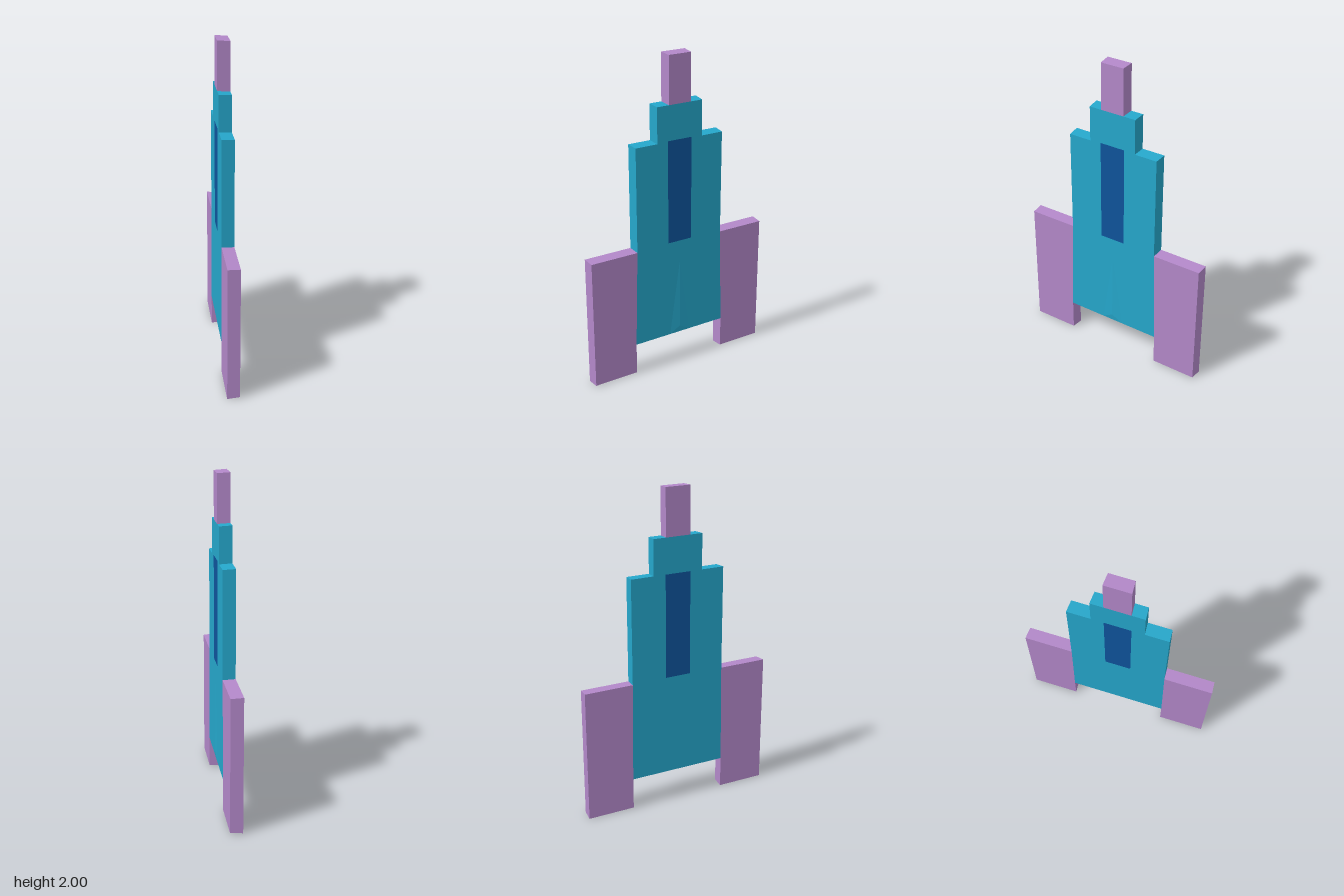
import * as THREE from 'three';

const BACK = -0.042, FRONT = 0.034, BEVEL = 0.005;
const PURPLE = 0xb388c9, TEAL = 0x25a7cb, BLUE = 0x0e549c;

const mirrored = (half) => [...half, ...half.slice().reverse().map(([z, y]) => [-z, y])];
const points = (outline) => outline.map(([z, y]) => new THREE.Vector2(-z, y));

// Flat plate standing in the z-y plane, its +x rim slightly chamfered
function plate(name, color, outline, hole) {
  const shape = new THREE.Shape(points(outline));
  if (hole) shape.holes.push(new THREE.Path(points(hole)));
  const geo = new THREE.ExtrudeGeometry(shape, { depth: FRONT - BACK, bevelEnabled: false });
  geo.rotateY(Math.PI / 2).translate(BACK, 0, 0);
  const p = geo.attributes.position;
  for (let i = 0; i < p.count; i++) {
    const y = p.getY(i), z = p.getZ(i), a = Math.abs(z);
    if (p.getX(i) < 0 || (a < 0.1 && y < 1.6)) continue; // back face and window stay square
    const innerFoot = y < 0.25 && a < 0.5;
    p.setY(i, y + (y < 0.25 ? BEVEL : -BEVEL));
    p.setZ(i, z + Math.sign(z) * (innerFoot ? BEVEL : -BEVEL));
  }
  geo.computeVertexNormals();
  return mesh(name, color, geo);
}

function mesh(name, color, geo) {
  const m = new THREE.Mesh(geo, new THREE.MeshStandardMaterial({ color, flatShading: true }));
  m.name = name;
  return m;
}

export function createModel() {
  const group = new THREE.Group();
  group.name = 'rocketPlate';

  // Stepped hull with a window cut through it
  const windowOutline = mirrored([[0.081, 0.84], [0.081, 1.49]]);
  const hull = mirrored([[0.31, 0.2], [0.302, 0.835], [0.302, 1.49], [0.158, 1.49], [0.158, 1.71], [0.079, 1.71]]);
  group.add(plate('hull', TEAL, hull, windowOutline));
  group.add(plate('window', BLUE, windowOutline));

  // Nose tip
  group.add(plate('noseTip', PURPLE, mirrored([[0.079, 1.71], [0.079, 2]])));

  // Side fins
  for (const s of [1, -1]) {
    const fin = [[0.31, 0], [0.608, 0], [0.608, 0.835], [0.302, 0.835], [0.31, 0.2]];
    group.add(plate(s > 0 ? 'frontFin' : 'rearFin', PURPLE, fin.map(([z, y]) => [s * z, y])));
  }

  // Very shallow ridge low on the +x face
  const ridge = new THREE.BufferGeometry();
  const x = FRONT + 0.0003, top = [x, 0.7, 0], peak = [x + 0.005, 0.25, 0];
  const left = [x, 0.206, 0.07], right = [x, 0.206, -0.07];
  ridge.setAttribute('position', new THREE.Float32BufferAttribute(
    [left, peak, top, right, top, peak, left, right, peak].flat(), 3));
  ridge.computeVertexNormals();
  group.add(mesh('hullRidge', TEAL, ridge));

  return group;
}
